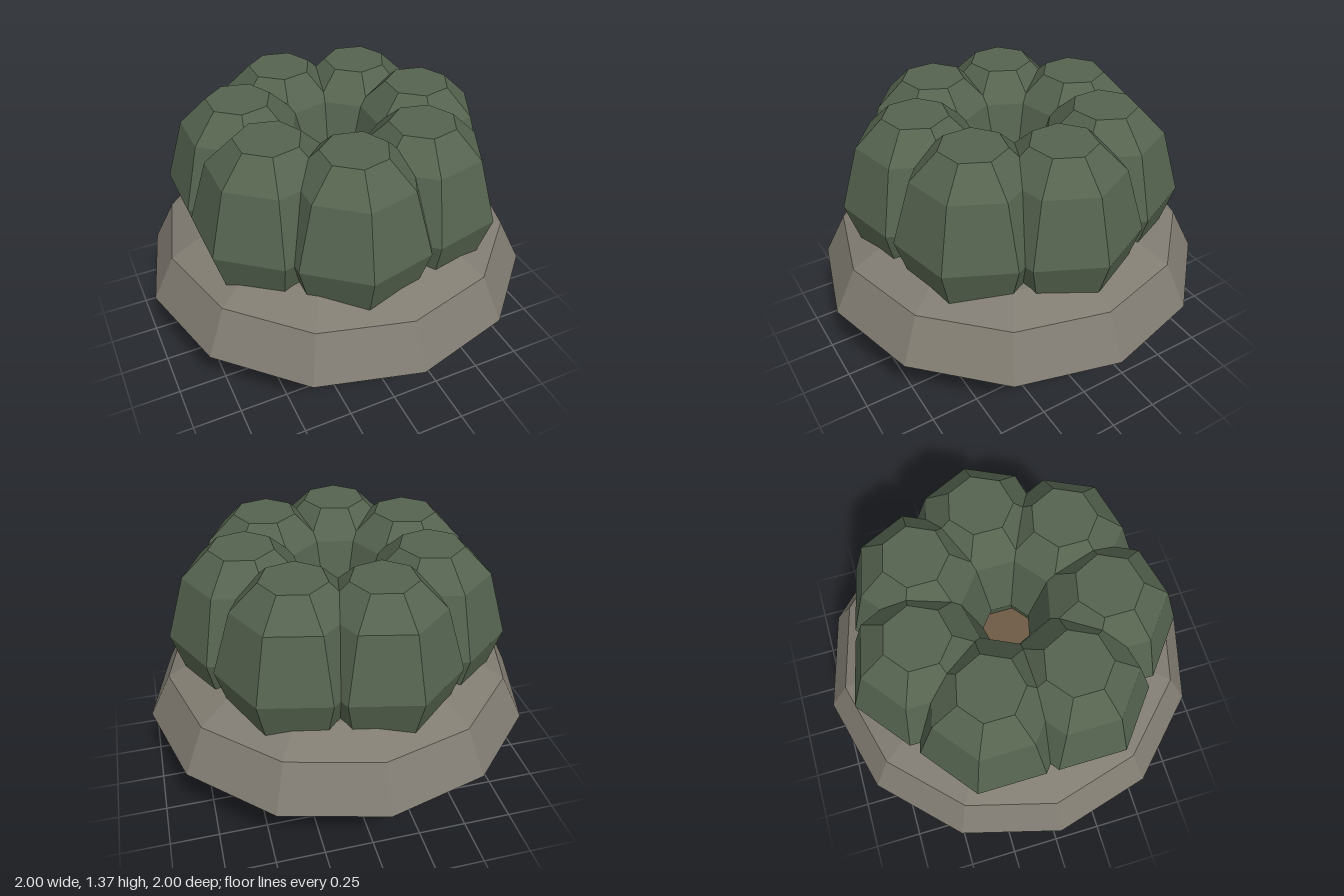
import * as THREE from 'three';

const mat = (color) => new THREE.MeshStandardMaterial({ color, flatShading: true });

// Faceted body of revolution; profile runs from bottom to top as [radius, y]
function turned(name, profile, sides, material) {
  const points = profile.map(([r, y]) => new THREE.Vector2(r, y));
  const mesh = new THREE.Mesh(new THREE.LatheGeometry(points, sides), material);
  mesh.name = name;
  return mesh;
}

export function createModel() {
  const model = new THREE.Group();
  model.name = 'pottedCactus';

  // Twelve-sided pot: dark foot, flared bowl, sloping shoulder, soil in the middle
  const pot = new THREE.Group();
  pot.name = 'pot';
  pot.add(
    turned('foot', [[0, 0], [0.55, 0], [0.645, 0.097]], 12, mat(0x40494b)),
    turned('bowl', [[0.645, 0.097], [1, 0.455], [0.885, 0.68], [0.715, 0.77], [0.5, 0.78]], 12, mat(0x817c72)),
    turned('soil', [[0.5, 0.78], [0, 0.78]], 12, mat(0x6e5b45))
  );
  model.add(pot);

  // Ring of seven flat-topped lobes, each with a corner pointing outward
  const cactus = new THREE.Group();
  cactus.name = 'cactus';
  const green = mat(0x55634f);
  const lobeProfile = [[0, 0.475], [0.16, 0.475], [0.295, 0.605], [0.39, 0.92], [0.295, 1.235], [0.16, 1.365], [0, 1.365]];
  const count = 7;
  for (let i = 0; i < count; i++) {
    const angle = Math.PI / 2 + (i / count) * Math.PI * 2;
    const lobe = turned('lobe' + (i + 1), lobeProfile, 7, green);
    lobe.position.set(Math.sin(angle) * 0.46, 0, Math.cos(angle) * 0.46);
    lobe.rotation.y = angle;
    cactus.add(lobe);
  }
  model.add(cactus);

  return model;
}
